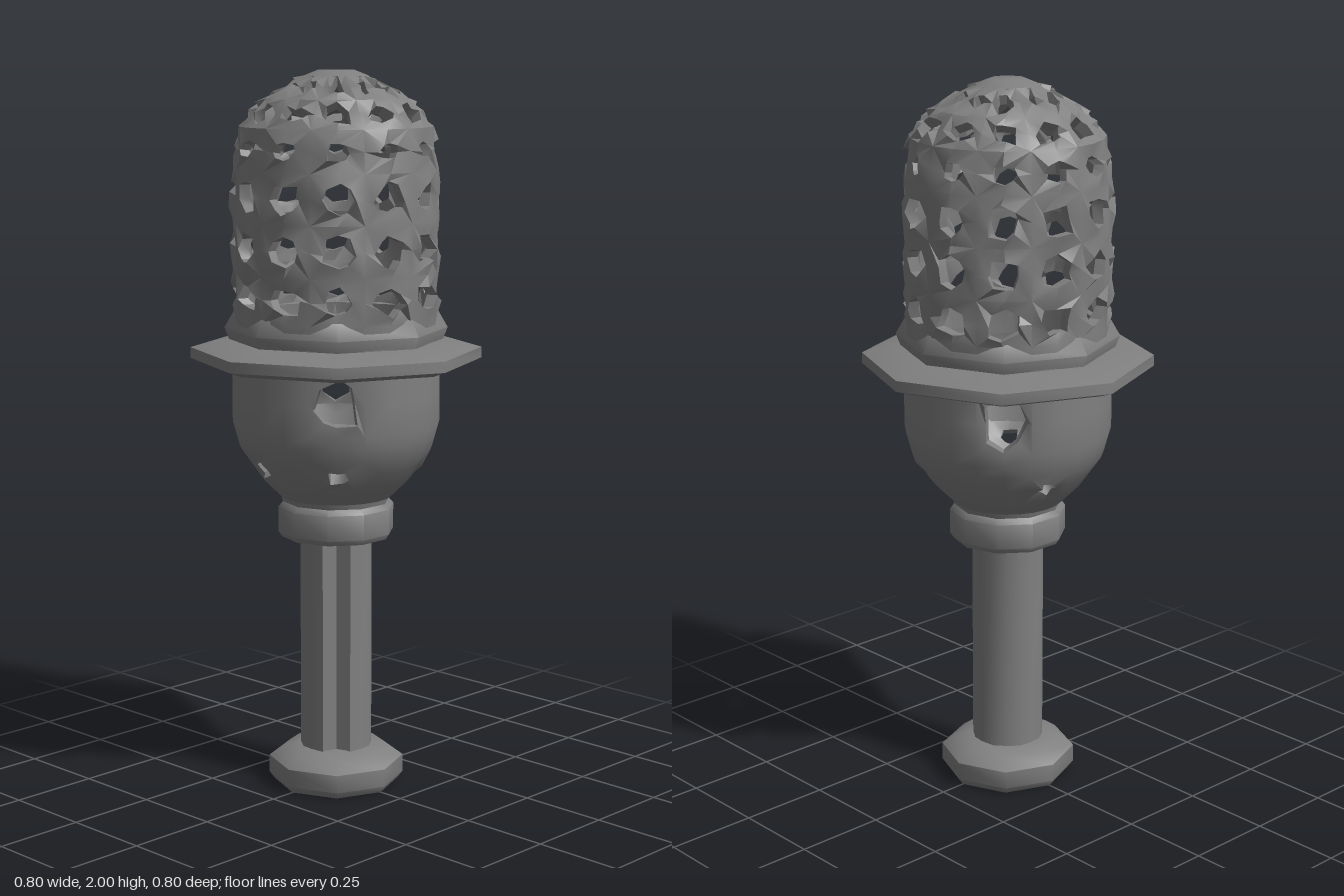
import * as THREE from 'three';
import { toCreasedNormals } from 'three/addons/utils/BufferGeometryUtils.js';

export function createModel() {
  const model = new THREE.Group();
  const grey = new THREE.MeshStandardMaterial({ color: 0x808080 });
  grey.name = 'worn grey metal';

  let seed = 11;
  const jitter = (amount) => {
    seed = (seed * 16807) % 2147483647;
    return (seed / 2147483647 - 0.5) * 2 * amount;
  };

  function add(name, geometry, crease = 0.9) {
    const mesh = new THREE.Mesh(toCreasedNormals(geometry, crease), grey);
    mesh.name = name;
    model.add(mesh);
    return mesh;
  }

  const lathe = (points, sides) =>
    new THREE.LatheGeometry(points.map(([r, y]) => new THREE.Vector2(r, y)), sides);

  // Outline of one cell, counter-clockwise from its lower left corner
  const outline = [[-1, -1], [0, -1], [1, -1], [1, 0], [1, 1], [0, 1], [-1, 1], [-1, 0]];

  // Thick turned wall split into cells; holeSize(row, column) gives each opening
  function piercedWall(profile, columns, thickness, holeSize, rough) {
    const positions = [];
    const tri = (...points) => points.forEach((p) => positions.push(p.x, p.y, p.z));
    const quad = (a, b, c, d) => { tri(a, b, c); tri(a, c, d); };

    for (let row = 0; row < profile.length - 1; row++) {
      const [r0, y0] = profile[row];
      const [r1, y1] = profile[row + 1];
      const slope = Math.hypot(r1 - r0, y1 - y0);
      const nr = (y1 - y0) / slope, ny = (r0 - r1) / slope;
      for (let col = 0; col < columns; col++) {
        const at = (u, v, depth) => {
          const angle = ((col + 0.5 + u / 2) / columns) * Math.PI * 2;
          const t = (v + 1) / 2;
          const r = Math.max(0, r0 + (r1 - r0) * t - nr * depth);
          return new THREE.Vector3(Math.sin(angle) * r, y0 + (y1 - y0) * t - ny * depth, Math.cos(angle) * r);
        };
        const size = holeSize(row, col);
        const outer = outline.map(([u, v]) => at(u, v, 0));
        const inner = outline.map(([u, v]) => at(u, v, thickness));
        const rim = [], back = [];
        outline.forEach(([u, v]) => {
          const round = u && v ? 0.8 : 1.05;
          const hu = u * size * round + jitter(rough * size);
          const hv = v * size * round + jitter(rough * size);
          const lift = size ? jitter(rough * 0.05) : 0;
          rim.push(at(hu, hv, lift));
          back.push(at(hu, hv, thickness + lift));
        });
        for (let i = 0; i < 8; i++) {
          const j = (i + 1) % 8;
          quad(outer[i], outer[j], rim[j], rim[i]);
          quad(inner[j], inner[i], back[i], back[j]);
          if (size) quad(rim[i], rim[j], back[j], back[i]);
        }
      }
    }
    const geometry = new THREE.BufferGeometry();
    geometry.setAttribute('position', new THREE.Float32BufferAttribute(positions, 3));
    return geometry;
  }

  // Perforated cage with a domed top
  const cageProfile = [
    [0.275, 1.24], [0.28, 1.335], [0.283, 1.46], [0.283, 1.6], [0.28, 1.735],
    [0.265, 1.85], [0.195, 1.925], [0.085, 1.985],
  ];
  const rowHoles = [0, 0.55, 0.55, 0.56, 0.4, 0.55, 0];
  const cageHole = (row, col) => (row === 6 ? (col % 3 === 1 ? 0.6 : 0.35) : rowHoles[row]);
  add('cage', piercedWall(cageProfile, 12, 0.03, cageHole, 0.24), 0.5);
  add('cageCap', lathe([[0, 1.965], [0.085, 1.965], [0.09, 1.984], [0.05, 2], [0, 2]], 8));

  // Octagonal collar and wide flange under the cage
  add('cageCollar', lathe([
    [0.25, 1.24], [0.285, 1.24], [0.308, 1.3], [0.282, 1.345], [0.25, 1.34], [0.25, 1.24],
  ], 8));
  add('flange', lathe([
    [0.25, 1.2], [0.36, 1.2], [0.402, 1.215], [0.402, 1.245], [0.3, 1.268], [0.25, 1.268], [0.25, 1.2],
  ], 8));

  // Hollow bowl with a few broken openings
  const bowlProfile = [[0.155, 0.83], [0.205, 0.88], [0.268, 0.97], [0.287, 1.04], [0.287, 1.21]];
  const openings = { '3,1': 0.72, '3,7': 0.72, '1,4': 0.6, '1,11': 0.5, '1,1': 0.4, '1,8': 0.4 };
  add('bowl', piercedWall(bowlProfile, 12, 0.035, (row, col) => openings[`${row},${col}`] || 0, 0.2));

  // Neck ring joining the bowl and the handle
  add('neckRing', lathe([
    [0, 0.715], [0.153, 0.715], [0.163, 0.73], [0.163, 0.8], [0.15, 0.815], [0.16, 0.85], [0, 0.85],
  ], 10), 0.75);

  // Handle with a groove down one corner
  const handle = new THREE.CylinderGeometry(0.1, 0.1, 0.65, 16, 1);
  const p = handle.attributes.position;
  for (let i = 0; i < p.count; i++) {
    const angle = Math.atan2(p.getX(i), p.getZ(i));
    if (Math.abs(angle - Math.PI / 4) < 0.1) {
      p.setX(i, p.getX(i) * 0.72);
      p.setZ(i, p.getZ(i) * 0.72);
    }
  }
  add('handle', handle, 0.6).position.y = 0.405;

  // Foot at the end of the handle
  add('foot', lathe([
    [0, 0], [0.175, 0], [0.19, 0.02], [0.19, 0.07], [0.15, 0.098], [0.1, 0.11], [0, 0.11],
  ], 8));

  return model;
}
